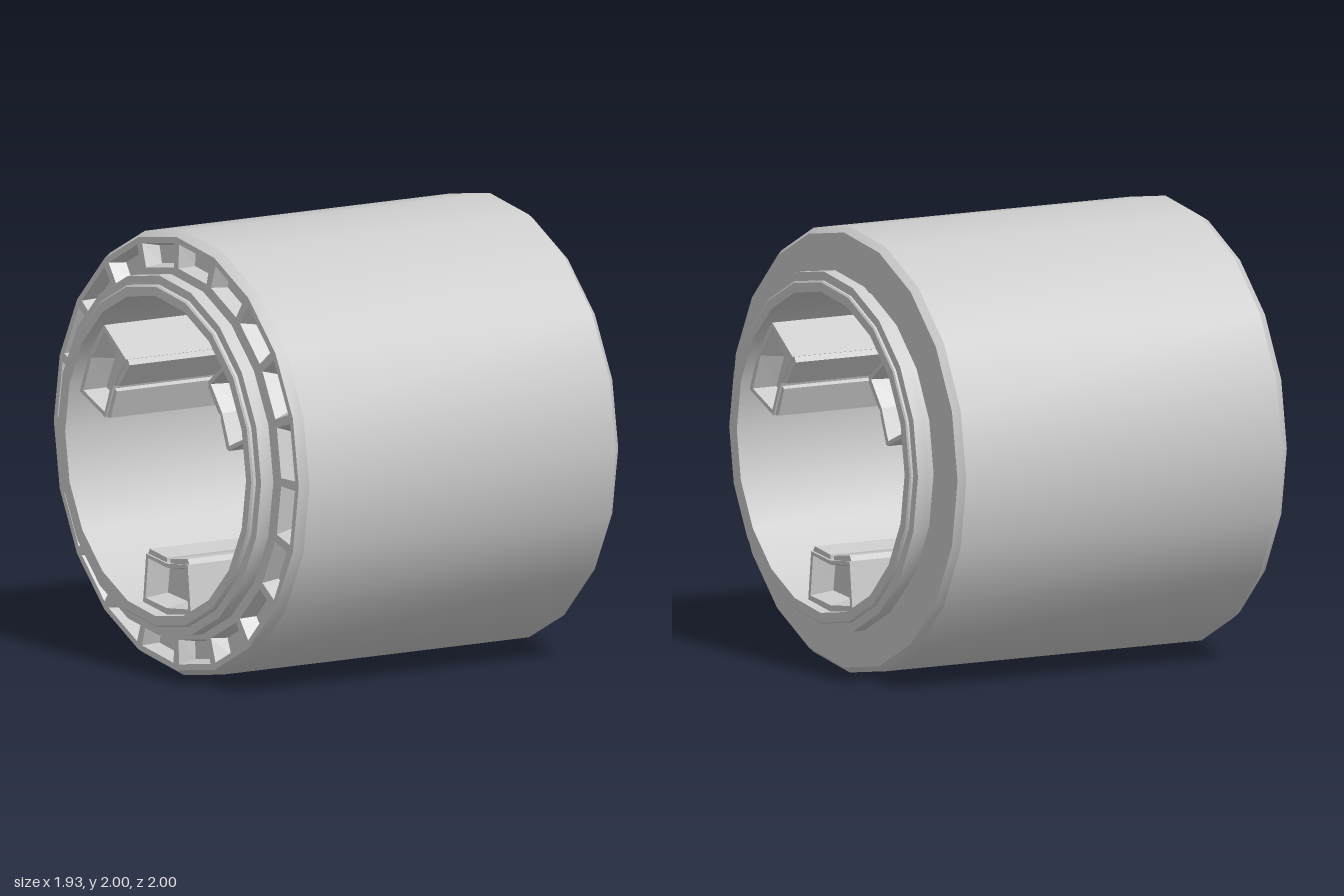
import * as THREE from 'three';
import { mergeGeometries, toCreasedNormals } from 'three/addons/utils/BufferGeometryUtils.js';

const SIDES = 20;
const STEP = (Math.PI * 2) / SIDES;

// Flat-shaded skin over a series of loops of [u, v] at distance w along x; the last loop is capped.
function loft(loops) {
  const pos = [];
  const rings = loops.map(({ pts, w }) => pts.map(([u, v]) => [w, v, -u]));
  const n = rings[0].length;
  for (let k = 0; k < rings.length - 1; k++) {
    const a = rings[k], b = rings[k + 1];
    for (let i = 0; i < n; i++) {
      const j = (i + 1) % n;
      pos.push(...a[i], ...a[j], ...b[j], ...a[i], ...b[j], ...b[i]);
    }
  }
  const cap = rings[rings.length - 1];
  for (let i = 1; i < n - 1; i++) pos.push(...cap[0], ...cap[i], ...cap[i + 1]);
  const g = new THREE.BufferGeometry();
  g.setAttribute('position', new THREE.Float32BufferAttribute(pos, 3));
  g.computeVertexNormals();
  return g;
}

// Hollow drum with bevelled rims and a flanged collar at each end, open where the pockets go
function drumGeometry() {
  const profile = [
    [0.96, -0.86], [0.975, -0.86], [1, -0.82], [1, 0.81], [0.975, 0.84],
    [0.77, 0.84], [0.77, 0.885], [0.81, 0.885], [0.81, 0.945], [0.77, 0.945],
    [0.77, 0.955], [0.762, 0.96], [0.72, 0.96],
    [0.72, -0.97], [0.762, -0.97], [0.77, -0.963], [0.77, -0.95],
    [0.81, -0.95], [0.81, -0.885], [0.77, -0.885], [0.77, -0.86], [0.82, -0.86],
  ].map(([r, x]) => new THREE.Vector2(r, x));
  const g = new THREE.LatheGeometry(profile, SIDES).rotateZ(-Math.PI / 2);
  return toCreasedNormals(g, 0.5);
}

// Ring of tapered square pockets sunk into the -x face
function pocketGeometry() {
  const cells = [];
  for (let k = 0; k < SIDES; k++) {
    const mid = (k + 0.5) * STEP;
    const quad = (r0, r1, half) =>
      [[r1, -half], [r1, half], [r0, half], [r0, -half]].map(([r, a]) =>
        [r * Math.cos(mid + a), r * Math.sin(mid + a)]);
    cells.push(loft([
      { pts: quad(0.82, 0.96, STEP / 2), w: 0.86 },
      { pts: quad(0.835, 0.945, STEP * 0.43), w: 0.86 },
      { pts: quad(0.845, 0.925, STEP * 0.33), w: 0.79 },
    ]));
  }
  return mergeGeometries(cells).rotateY(Math.PI);
}

// Inner rail: V-topped bar with a tapered recess in each end
function railGeometry() {
  const section = (half, top, dip, bottom, foot, low) =>
    [[0, dip], [-half, top], [-foot, bottom], [0, low], [foot, bottom], [half, top]];
  const outer = section(0.165, -0.47, -0.49, -0.69, 0.19, -0.718);
  const half = loft([
    { pts: outer, w: 0 },
    { pts: outer, w: 0.91 },
    { pts: section(0.148, -0.488, -0.508, -0.67, 0.17, -0.69), w: 0.91 },
    { pts: section(0.136, -0.505, -0.527, -0.655, 0.156, -0.67), w: 0.8 },
  ]);
  return mergeGeometries([half, half.clone().rotateY(Math.PI)]);
}

// Thin strip lying on one side of the rail's top, leaving a centre slot
function lipGeometry(side) {
  const pts = [[0.015, -0.492], [0.165, -0.472], [0.15, -0.447], [0.015, -0.467]];
  const shape = new THREE.Shape(pts.map(([u, v]) => new THREE.Vector2(u * side, v)));
  return new THREE.ExtrudeGeometry(shape, { depth: 1.8, bevelEnabled: false })
    .translate(0, 0, -0.9).rotateY(Math.PI / 2);
}

export function createModel() {
  const material = new THREE.MeshStandardMaterial({ color: 0xcccccc });
  const model = new THREE.Group();
  model.name = 'hollowDrum';
  const add = (parent, name, geometry) => {
    const mesh = new THREE.Mesh(geometry, material);
    mesh.name = name;
    parent.add(mesh);
  };

  // Everything turns about the drum's x axis
  const drum = new THREE.Group();
  drum.name = 'drum';
  drum.position.set(0.005, 1, 0);
  model.add(drum);
  add(drum, 'drumShell', drumGeometry());
  add(drum, 'pocketRing', pocketGeometry());

  // Three rails, evenly spaced around the bore
  const rail = railGeometry();
  const lips = [lipGeometry(1), lipGeometry(-1)];
  for (let i = 0; i < 3; i++) {
    const group = new THREE.Group();
    group.name = 'innerRail' + (i + 1);
    group.rotation.x = (i * Math.PI * 2) / 3;
    add(group, 'railBar', rail);
    lips.forEach((g) => add(group, 'railLip', g));
    drum.add(group);
  }
  return model;
}
